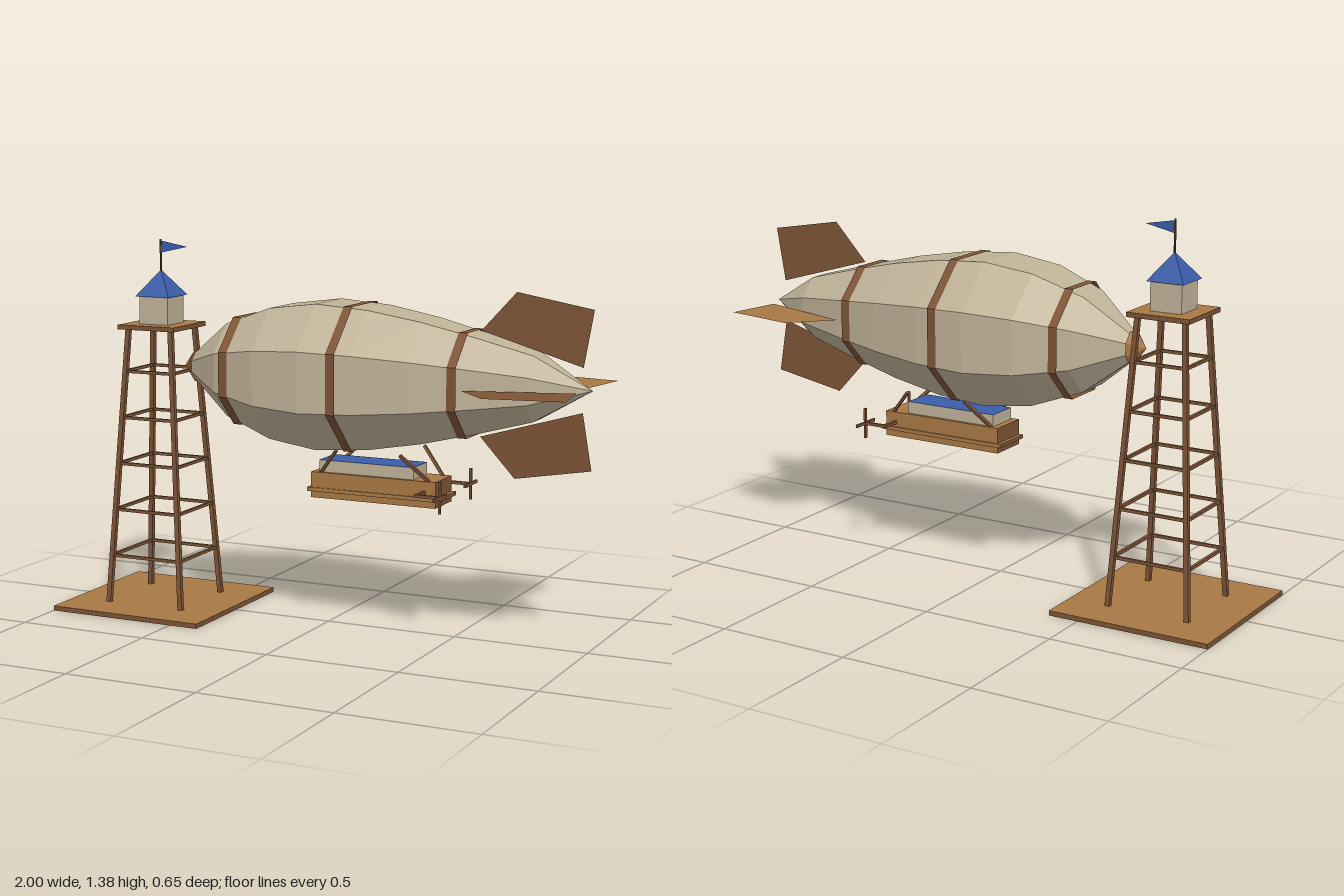
import * as THREE from 'three';

const mat = (name, color, side = THREE.FrontSide) => {
  const m = new THREE.MeshStandardMaterial({ color, flatShading: true, side });
  m.name = name;
  return m;
};

export function createModel() {
  const cream = mat('cream canvas', 0xbfb298);
  const plank = mat('light wood', 0xa87845, THREE.DoubleSide);
  const brown = mat('brown wood', 0x7d5436, THREE.DoubleSide);
  const dark = mat('dark wood', 0x5c3f2a);
  const blue = mat('blue', 0x3a5ca8, THREE.DoubleSide);
  // Box face order: +x, -x, +y, -y, +z, -z
  const deckFaces = [brown, brown, plank, plank, brown, brown];
  const hullFaces = [brown, brown, plank, plank, plank, plank];
  const cabinFaces = [cream, cream, blue, cream, cream, cream];

  const model = new THREE.Group();
  model.name = 'airshipAndMooringTower';
  const group = (name, parent = model) => {
    const g = new THREE.Group();
    g.name = name;
    parent.add(g);
    return g;
  };
  const add = (parent, name, geo, material, x = 0, y = 0, z = 0) => {
    const m = new THREE.Mesh(geo, material);
    m.name = name;
    m.position.set(x, y, z);
    parent.add(m);
    return m;
  };
  const box = (parent, name, material, w, h, d, x, y, z) =>
    add(parent, name, new THREE.BoxGeometry(w, h, d), material, x, y, z);
  // Square bar between two points
  const up = new THREE.Vector3(0, 1, 0);
  const bar = (parent, name, material, a, b, t) => {
    const p = new THREE.Vector3(...a), q = new THREE.Vector3(...b);
    const mid = p.clone().add(q).multiplyScalar(0.5);
    const m = box(parent, name, material, t, p.distanceTo(q), t, mid.x, mid.y, mid.z);
    m.quaternion.setFromUnitVectors(up, q.sub(p).normalize());
  };

  // Mooring tower
  const tower = group('mooringTower');
  tower.position.x = -0.693;
  box(tower, 'base', deckFaces, 0.614, 0.018, 0.614, 0, 0.009, 0);
  const spread = y => 0.155 - 0.065 * (y - 0.018) / 1.037;
  const corners = [[1, 1], [1, -1], [-1, -1], [-1, 1]];
  corners.forEach(([sx, sz], i) => {
    const lo = spread(0.018), hi = spread(1.055);
    bar(tower, 'towerLeg', brown, [sx * lo, 0.018, sz * lo], [sx * hi, 1.055, sz * hi], 0.018);
    const [nx, nz] = corners[(i + 1) % 4];
    for (const y of [0.197, 0.373, 0.548, 0.722, 0.896]) {
      const s = spread(y);
      bar(tower, 'crossBar', brown, [sx * s, y, sz * s], [nx * s, y, nz * s], 0.011);
    }
  });
  box(tower, 'platform', deckFaces, 0.24, 0.017, 0.24, 0, 1.063, 0);
  box(tower, 'hut', cream, 0.12, 0.105, 0.12, 0, 1.123, 0);
  const roof = new THREE.ConeGeometry(0.071 * Math.SQRT2, 0.097, 4);
  roof.rotateY(Math.PI / 4);
  add(tower, 'hutRoof', roof, blue, 0, 1.2235, 0);
  add(tower, 'flagpole', new THREE.CylinderGeometry(0.004, 0.004, 0.125, 6), dark, 0, 1.3225, 0);
  const flag = new THREE.Shape([[0, 1.38], [0, 1.335], [0.113, 1.36]].map(p => new THREE.Vector2(...p)));
  add(tower, 'flag', new THREE.ShapeGeometry(flag), blue);

  // Airship envelope: eight-sided, [x, half height]
  const airship = group('airship');
  const axisY = 0.922;
  const profile = [[-0.57, 0], [-0.54, 0.048], [-0.38, 0.17], [-0.19, 0.238], [0, 0.263],
    [0.2, 0.249], [0.4, 0.215], [0.6, 0.168], [0.8, 0.115], [1, 0]];
  const octagon = (name, material, pts) => {
    const k = 1 / Math.cos(Math.PI / 8);
    const g = new THREE.LatheGeometry(pts.map(([x, r]) => new THREE.Vector2(r * k, x)), 8, Math.PI / 8);
    g.rotateZ(-Math.PI / 2);
    add(airship, name, g, material, 0, axisY, 0);
  };
  octagon('envelope', cream, profile);
  // Straight open hoops
  for (const [x, r] of [[-0.329, 0.197], [0.128, 0.259], [0.553, 0.185]]) {
    octagon('envelopeBand', brown, [[x - 0.017, r], [x + 0.017, r]]);
  }
  octagon('noseCap', plank, [[-0.592, 0], [-0.54, 0.058], [-0.54, 0]]);

  // Tail fins
  const fin = new THREE.ShapeGeometry(new THREE.Shape(
    [[0.59, 0.187], [0.965, 0.078], [1, 0.278], [0.72, 0.327]].map(p => new THREE.Vector2(...p))));
  [['topFin', brown], ['leftFin', brown], ['bottomFin', brown], ['rightFin', plank]]
    .forEach(([name, m], i) => {
      add(airship, name, fin, m, 0, axisY, 0).rotation.x = i * Math.PI / 2;
    });

  // Gondola
  const gondola = group('gondola', airship);
  box(gondola, 'hull', hullFaces, 0.487, 0.094, 0.15, 0.21, 0.525, 0);
  box(gondola, 'hullRail', hullFaces, 0.517, 0.014, 0.16, 0.211, 0.508, 0);
  box(gondola, 'cabin', cabinFaces, 0.37, 0.045, 0.124, 0.178, 0.5935, 0);
  for (const s of [-1, 1]) {
    bar(gondola, 'strut', brown, [0, 0.57, s * 0.063], [0.085, 0.665, s * 0.112], 0.011);
    bar(gondola, 'strut', brown, [0.425, 0.57, s * 0.063], [0.332, 0.665, s * 0.112], 0.011);
    // Propeller on its outrigger
    bar(gondola, 'outrigger', brown, [0.41, 0.533, s * 0.07], [0.41, 0.533, s * 0.147], 0.011);
    bar(gondola, 'propellerShaft', brown, [0.403, 0.533, s * 0.145], [0.499, 0.533, s * 0.145], 0.011);
    box(gondola, 'propellerBlade', brown, 0.008, 0.114, 0.011, 0.499, 0.533, s * 0.145);
    box(gondola, 'propellerBlade', brown, 0.008, 0.011, 0.114, 0.499, 0.533, s * 0.145);
  }
  return model;
}
